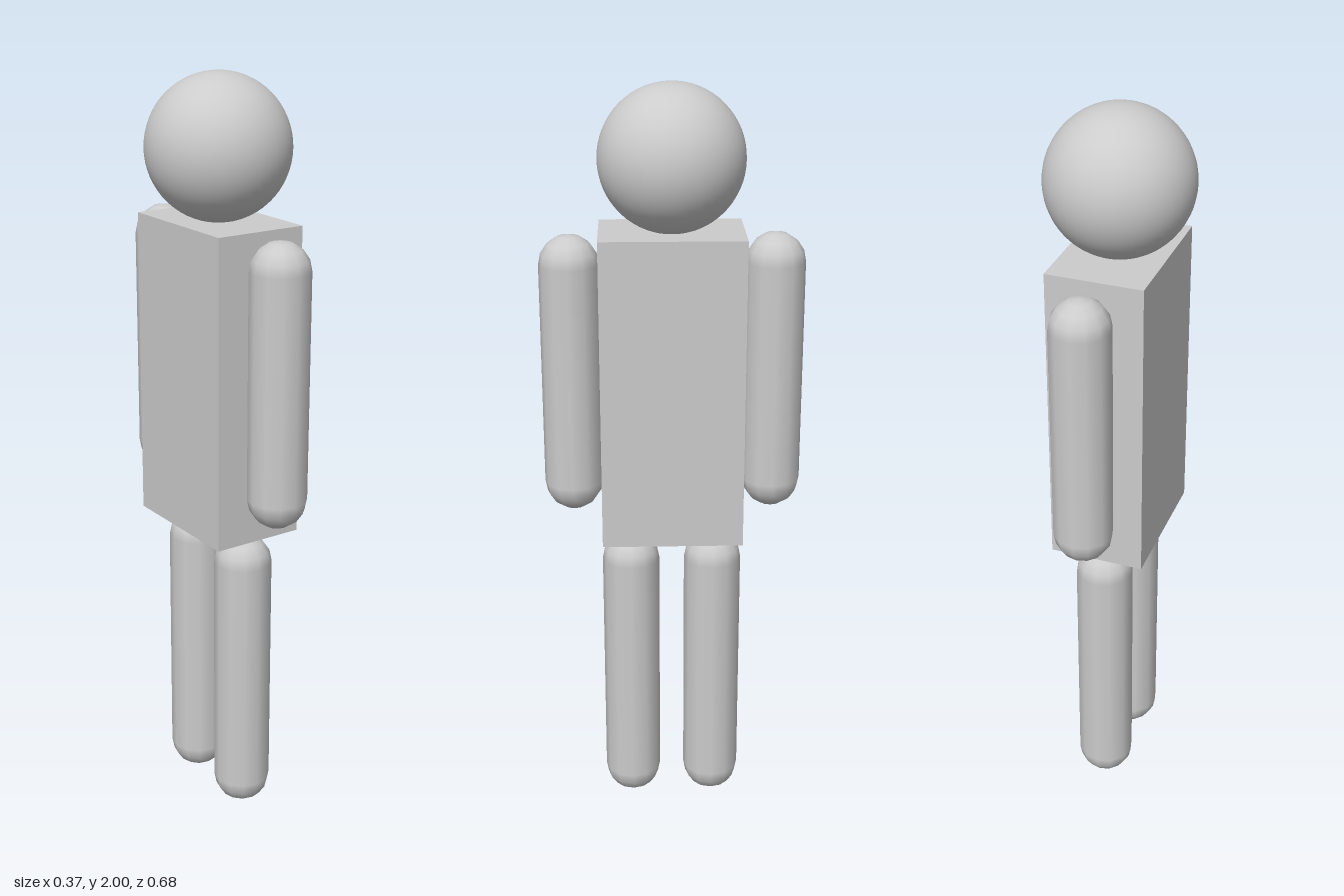
import * as THREE from 'three';

const material = new THREE.MeshStandardMaterial({ color: 0xcccccc });

function addPart(group, name, geometry, x, y, z) {
  const mesh = new THREE.Mesh(geometry, material);
  mesh.name = name;
  mesh.position.set(x, y, z);
  group.add(mesh);
}

// Round-ended limb spanning the heights bottom to top
function addLimb(group, name, bottom, top, z) {
  const radius = 0.077;
  const geometry = new THREE.CapsuleGeometry(radius, top - bottom - 2 * radius, 4, 12);
  addPart(group, name, geometry, 0.004, (bottom + top) / 2, z);
}

export function createModel() {
  const figure = new THREE.Group();
  figure.name = 'figure';

  addPart(figure, 'head', new THREE.SphereGeometry(0.185, 48, 32), 0, 1.815, 0.001);
  addPart(figure, 'torso', new THREE.BoxGeometry(0.25, 0.816, 0.369), 0, 1.228, 0.0015);

  // Shoulders run along z; arms hang beside the torso, legs below it
  addLimb(figure, 'frontArm', 0.887, 1.628, 0.261);
  addLimb(figure, 'backArm', 0.891, 1.632, -0.262);
  addLimb(figure, 'frontLeg', 0, 0.81, 0.112);
  addLimb(figure, 'backLeg', 0, 0.81, -0.109);

  return figure;
}
